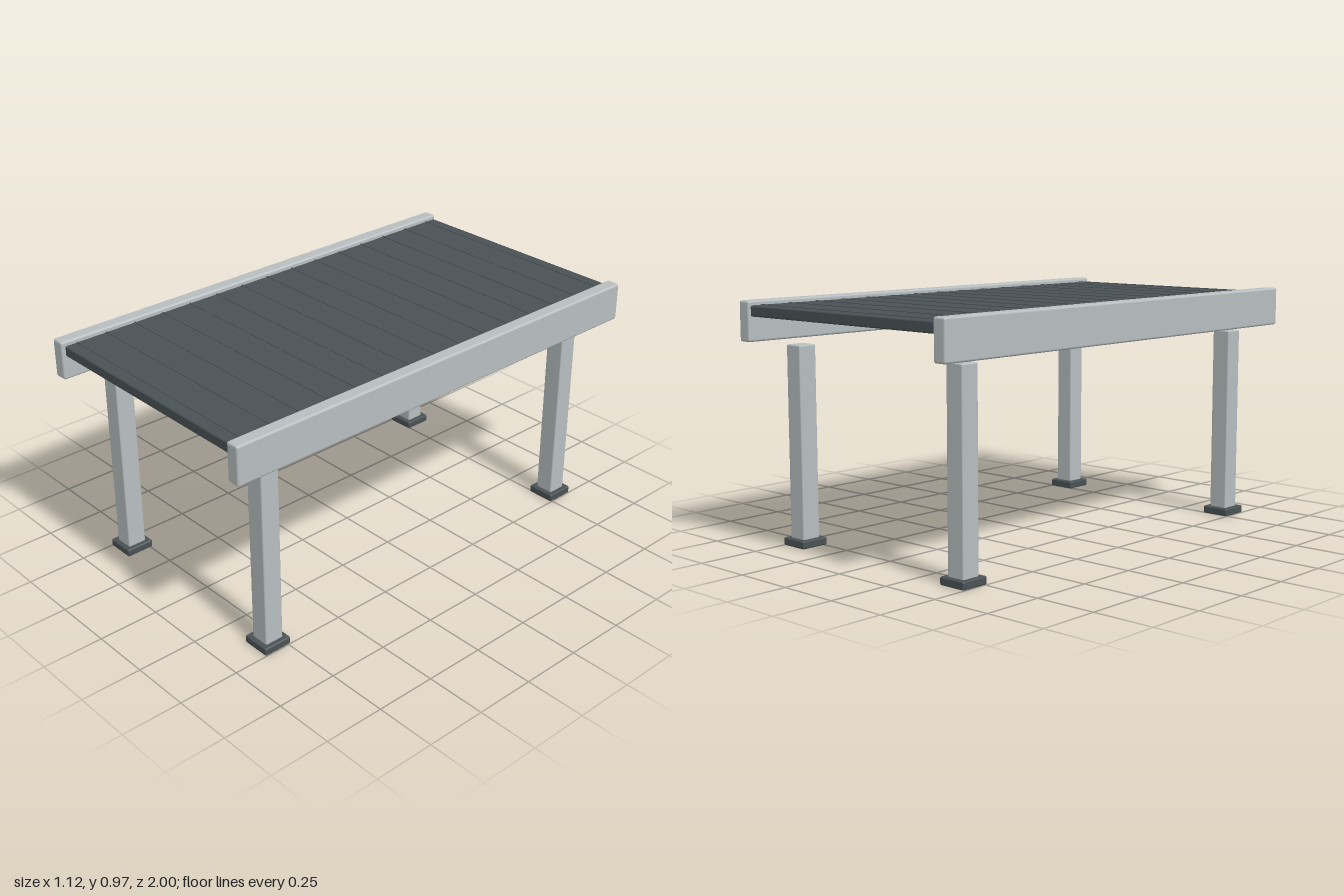
import * as THREE from 'three';
import { RoundedBoxGeometry } from 'three/addons/geometries/RoundedBoxGeometry.js';

export function createModel() {
  const model = new THREE.Group();
  model.name = 'conveyorTable';

  const lightMetal = new THREE.MeshStandardMaterial({ color: 0xb8bfc1 });
  lightMetal.name = 'light grey metal';
  const darkRubber = new THREE.MeshStandardMaterial({ color: 0x4a5255 });
  darkRubber.name = 'dark grey rubber';

  // Soft-edged box placed by its centre
  function block(name, material, size, position, radius) {
    const mesh = new THREE.Mesh(new RoundedBoxGeometry(...size, 2, radius), material);
    mesh.name = name;
    mesh.position.set(...position);
    model.add(mesh);
    return mesh;
  }

  // Flat belt between the rails
  block('belt', darkRubber, [1.006, 0.043, 1.976], [0, 0.9365, -0.003], 0.007);

  // Fine cross ribs along the top of the belt
  const ribCount = 15;
  const ribGeometry = new THREE.BoxGeometry(1.0, 0.004, 0.006);
  for (let i = 0; i < ribCount; i++) {
    const rib = new THREE.Mesh(ribGeometry, darkRubber);
    rib.name = 'beltRib';
    rib.position.set(0, 0.958, -0.938 + (1.87 * i) / (ribCount - 1));
    model.add(rib);
  }

  for (const side of [-1, 1]) {
    const sideName = side > 0 ? 'left' : 'right';

    // Long side rail
    block(sideName + 'Rail', lightMetal, [0.058, 0.158, 2], [side * 0.531, 0.896, 0], 0.009);

    // Legs with square feet
    for (const end of [-1, 1]) {
      const endName = sideName + (end > 0 ? 'Front' : 'Back');
      block(endName + 'Leg', lightMetal, [0.08, 0.78, 0.08], [side * 0.44, 0.41, end * 0.8], 0.006);
      block(endName + 'Foot', darkRubber, [0.12, 0.032, 0.12], [side * 0.44, 0.019, end * 0.8], 0.006);
    }
  }

  // Rest the feet on the ground
  model.children.forEach((part) => {
    if (part.name.endsWith('Foot')) part.position.y = 0.018;
  });

  return model;
}
